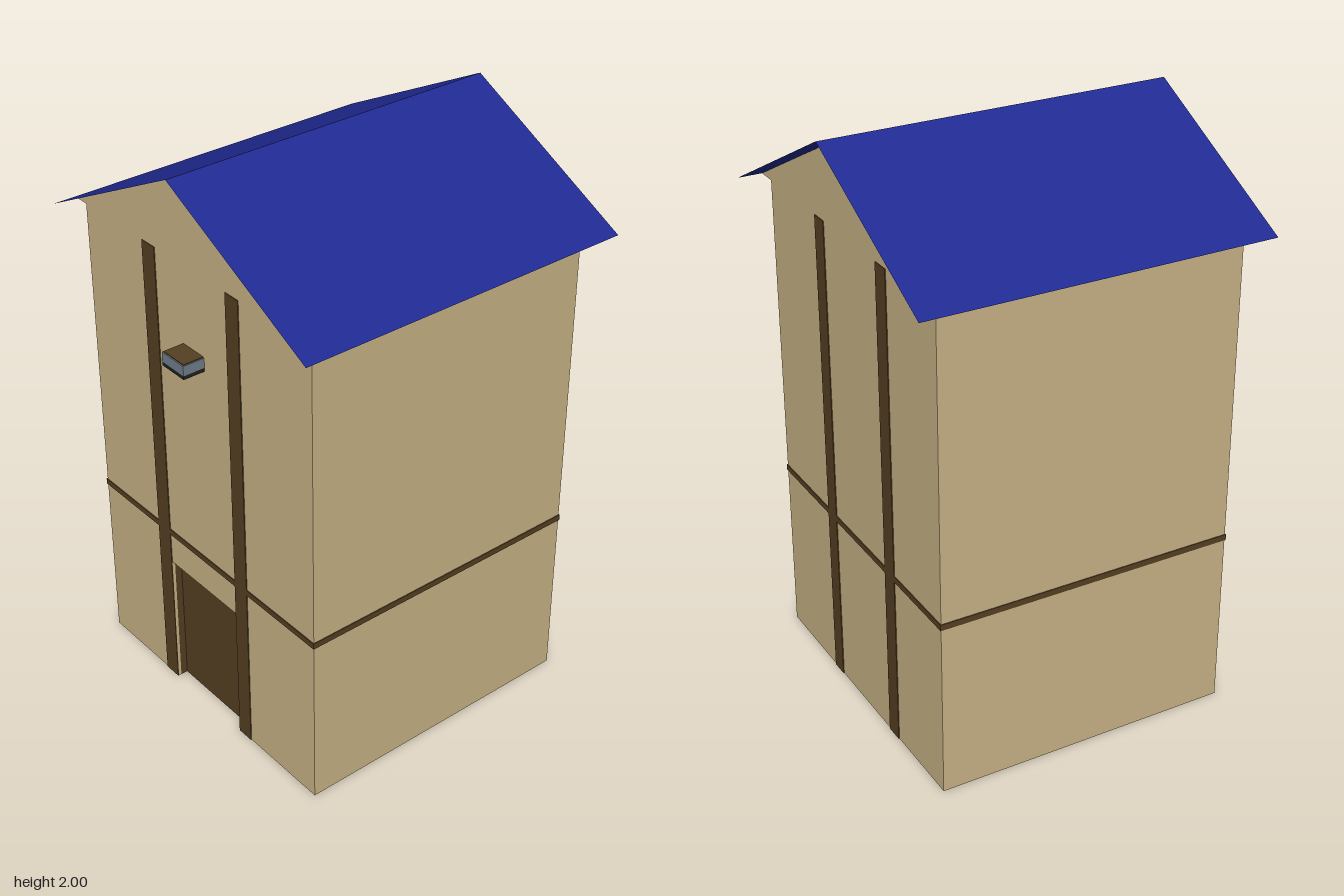
import * as THREE from 'three';

const mat = (name, color, side = THREE.FrontSide) => {
  const m = new THREE.MeshStandardMaterial({ color, side });
  m.name = name;
  return m;
};

export function createModel() {
  const group = new THREE.Group();
  const tan = mat('tan plaster', 0xc8b285, THREE.DoubleSide);
  const brown = mat('dark brown timber', 0x553f22);
  const blue = mat('blue roofing', 0x202a92, THREE.DoubleSide);
  const slate = mat('slate grey', 0x6f7d8b);
  const black = mat('black', 0x202020, THREE.DoubleSide);

  const add = (name, geometry, material) => {
    const mesh = new THREE.Mesh(geometry, material);
    mesh.name = name;
    group.add(mesh);
    return mesh;
  };
  // Box given by its low and high limits on each axis
  const box = (name, material, x0, x1, y0, y1, z0, z1) => {
    const mesh = add(name, new THREE.BoxGeometry(x1 - x0, y1 - y0, z1 - z0), material);
    mesh.position.set((x0 + x1) / 2, (y0 + y1) / 2, (z0 + z1) / 2);
    return mesh;
  };

  const L = -0.567, R = 0.557, B = -0.537, F = 0.508; // wall limits
  const H = 1.68, T = 0.01, E = 0.003;                // wall height, thickness, relief
  const posts = [[-0.26, -0.195], [0.16, 0.222]];
  const doorTop = 0.497;

  // Hollow walls; the front one leaves a doorway
  box('leftWall', tan, R - T, R, 0, H, B, F);
  box('rightWall', tan, L, L + T, 0, H, B, F);
  box('backWall', tan, L + T, R - T, 0, H, B, B + T);
  box('frontWallRight', tan, L + T, posts[0][1], 0, H, F - T, F);
  box('frontWallLeft', tan, posts[1][0], R - T, 0, H, F - T, F);
  box('frontWallAboveDoor', tan, posts[0][1], posts[1][0], doorTop, H, F - T, F);

  // Recessed door
  box('door', brown, posts[0][1], posts[1][0], 0, doorTop, F - 0.05, F - 0.035);

  // Timber posts on front and back, joined by floor beams
  for (const [a, b] of posts) {
    box('frontPost', brown, a, b, 0, H, F - 0.04, F + E);
    box('backPost', brown, a, b, 0, H, B - E, B + 0.04);
    box('floorBeam', brown, a, b, 0, 0.03, B + 0.04, F - 0.04);
  }

  // Timber band through the walls
  const y0 = 0.612, y1 = 0.633;
  box('frontBand', brown, L - E, R + E, y0, y1, F - T - E, F + E);
  box('backBand', brown, L - E, R + E, y0, y1, B - E, B + T + E);
  box('leftBand', brown, R - T - E, R + E, y0, y1, B, F);
  box('rightBand', brown, L - E, L + T + E, y0, y1, B, F);

  // Floor slabs on both sides of the open strip, four colours deep
  const step = (F - B - 2 * T) / 4;
  [black, slate, tan, slate].forEach((m, i) => {
    const z = B + T + i * step;
    box('rightFloorSlab', m, L + T, posts[0][0], 0.001, 0.02, z, z + step);
    box('leftFloorSlab', m, posts[1][1], R - T, 0.001, 0.02, z, z + step);
  });

  // Gables and loft floor
  const W = 0.63, top = 2, zBack = -0.622, zFront = 0.587;
  const triangle = new THREE.Shape([
    new THREE.Vector2(-W, H), new THREE.Vector2(W, H), new THREE.Vector2(0, top - 0.001),
  ]);
  for (const [name, z] of [['frontGable', F], ['backGable', B]]) {
    add(name, new THREE.ShapeGeometry(triangle), tan).position.z = z;
  }
  const loft = add('loftFloor', new THREE.PlaneGeometry(2 * W, F - B), black);
  loft.rotation.x = Math.PI / 2;
  loft.position.set(0, H, (F + B) / 2);

  // Two thin roof slopes
  const rise = top - H;
  for (const s of [-1, 1]) {
    const g = new THREE.PlaneGeometry(Math.hypot(W, rise), zFront - zBack);
    g.rotateX(-Math.PI / 2);
    const slope = add(s > 0 ? 'leftRoofSlope' : 'rightRoofSlope', g, blue);
    slope.rotation.z = -s * Math.atan2(rise, W);
    slope.position.set(s * W / 2, (H + top) / 2, (zFront + zBack) / 2);
  }

  // Small lamp above the door
  box('lampBase', black, -0.07, 0.04, 1.355, 1.368, F, 0.585);
  box('lampBody', slate, -0.07, 0.04, 1.368, 1.402, F, 0.585);
  box('lampCap', brown, -0.066, 0.036, 1.402, 1.405, F, 0.581);

  return group;
}
